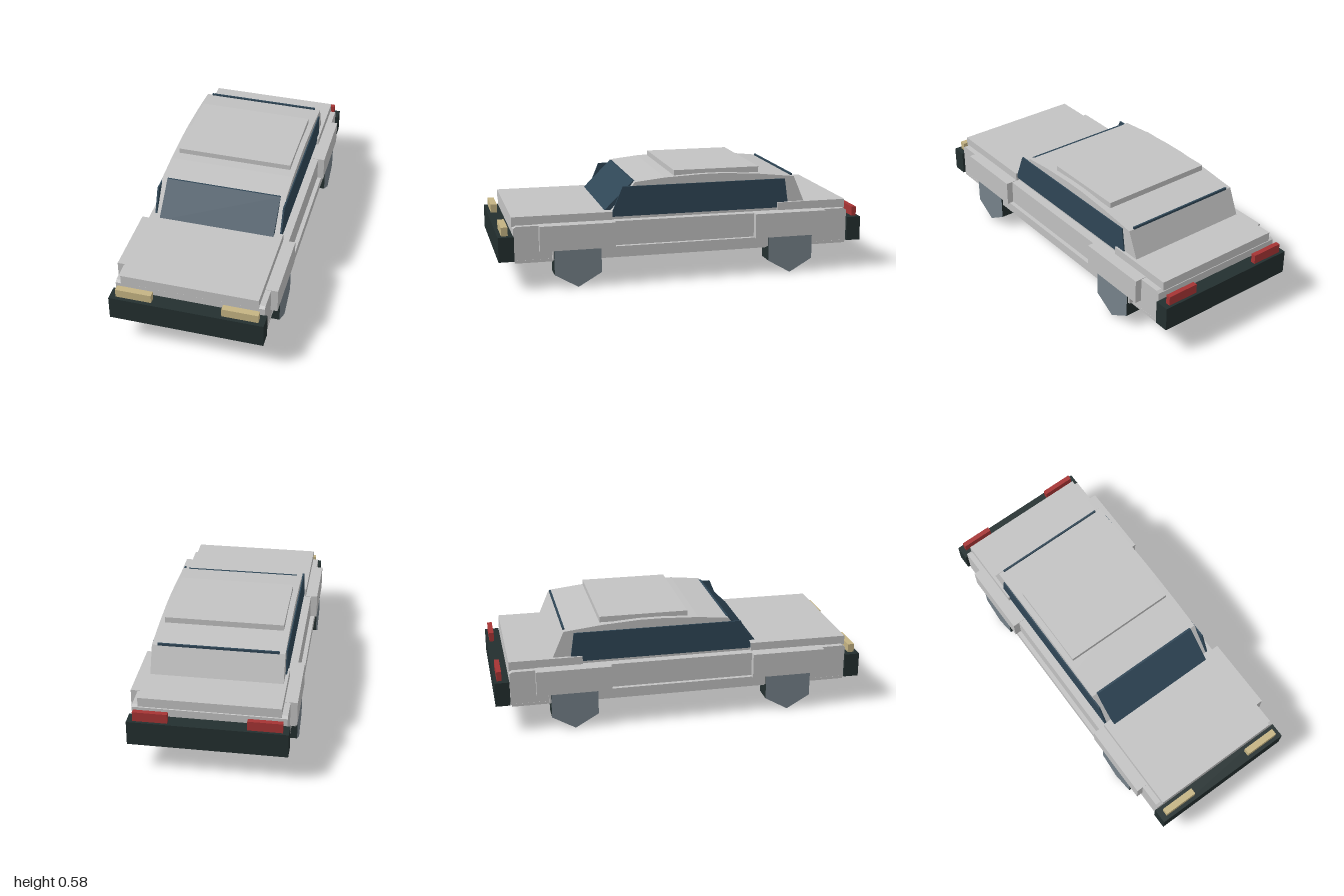
import * as THREE from 'three';

const mat = (name, color) => {
  const m = new THREE.MeshStandardMaterial({ color });
  m.name = name;
  return m;
};

export function createModel() {
  const car = new THREE.Group();
  car.name = 'car';
  const paint = mat('silver paint', 0xc2c2c2);
  const glass = mat('dark blue glass', 0x2f4656);
  const rubber = mat('black rubber', 0x232f2f);
  const steel = mat('wheel steel', 0x76828a);
  const lamp = mat('headlight yellow', 0xc4b383);
  const red = mat('tail light red', 0xa63434);

  const add = (name, geometry, material) => {
    const mesh = new THREE.Mesh(geometry, material);
    mesh.name = name;
    car.add(mesh);
    return mesh;
  };
  // Box given by its limits on each axis
  const box = (name, material, [x0, x1], [y0, y1], [z0, z1]) =>
    add(name, new THREE.BoxGeometry(x1 - x0, y1 - y0, z1 - z0)
      .translate((x0 + x1) / 2, (y0 + y1) / 2, (z0 + z1) / 2), material);
  // Side profile of [z, y] points, extruded across the car from x0 to x1
  const profile = (name, material, points, x0, x1) => {
    const shape = new THREE.Shape(points.map(([z, y]) => new THREE.Vector2(z, y)));
    const g = new THREE.ExtrudeGeometry(shape, { depth: x1 - x0, bevelEnabled: false });
    return add(name, g.rotateY(-Math.PI / 2).translate(x1, 0, 0), material);
  };

  // Lower body, floor and sills
  profile('body', paint, [
    [-0.92, 0.15], [0.92, 0.15], [0.92, 0.325], [0.905, 0.335], [-0.905, 0.335], [-0.92, 0.325],
  ], -0.392, 0.392);
  box('floor', paint, [-0.393, 0.393], [0.14, 0.155], [-0.915, 0.915]);
  box('sills', paint, [-0.415, 0.415], [0.153, 0.205], [-0.72, 0.72]);

  // Bonnet and boot lid
  box('bonnet', paint, [-0.362, 0.362], [0.33, 0.38], [0.39, 0.925]);
  box('bootLid', paint, [-0.362, 0.362], [0.33, 0.38], [-0.92, -0.53]);

  // Cabin with a gently arched roof, and the raised roof panel
  profile('cabin', paint, [
    [-0.705, 0.335], [0.41, 0.335], [0.265, 0.53], [0.1, 0.547], [-0.1, 0.556],
    [-0.22, 0.556], [-0.42, 0.543], [-0.625, 0.52],
  ], -0.345, 0.345);
  box('roofPanel', paint, [-0.315, 0.315], [0.547, 0.578], [-0.43, 0.045]);

  // Windows
  profile('windshield', glass, [
    [0.41, 0.36], [0.435, 0.37], [0.27, 0.532], [0.255, 0.53],
  ], -0.315, 0.315);
  box('rearWindow', glass, [-0.315, 0.315], [0.4, 0.53], [-0.626, -0.616]);

  for (const [side, s] of [['left', 1], ['right', -1]]) {
    const span = (a, b) => (s > 0 ? [a, b] : [-b, -a]);
    profile(`${side}SideWindow`, glass, [
      [-0.595, 0.35], [0.4, 0.35], [0.333, 0.51], [-0.572, 0.51],
    ], ...span(0.343, 0.352));
    box(`${side}Headlight`, lamp, span(0.184, 0.374), [0.28, 0.331], [0.945, 0.98]);
    box(`${side}TailLight`, red, span(0.2, 0.376), [0.28, 0.336], [-0.986, -0.96]);

    for (const [end, z] of [['Front', 0.588], ['Rear', -0.585]]) {
      box(`${side}${end}Fender`, paint, span(0.355, 0.428), [0.203, 0.337], [z - 0.2, z + 0.2]);
      // Six-sided wheel standing on a corner
      const wheel = new THREE.CylinderGeometry(0.144, 0.144, 0.104, 6)
        .toNonIndexed();
      wheel.computeVertexNormals();
      wheel.rotateZ(Math.PI / 2).rotateX(Math.PI / 2);
      // Turn so that one corner points straight down
      wheel.computeBoundingBox();
      const { min, max } = wheel.boundingBox;
      if (max.y - min.y < max.z - min.z) wheel.rotateX(Math.PI / 2);
      wheel.translate(s * 0.372, 0.144, z);
      add(`${side}${end}Wheel`, wheel, [rubber, steel, steel]);
    }
  }

  // Bumpers
  box('frontBumper', rubber, [-0.406, 0.406], [0.154, 0.285], [0.918, 1]);
  box('rearBumper', rubber, [-0.406, 0.406], [0.154, 0.285], [-1, -0.922]);

  return car;
}
